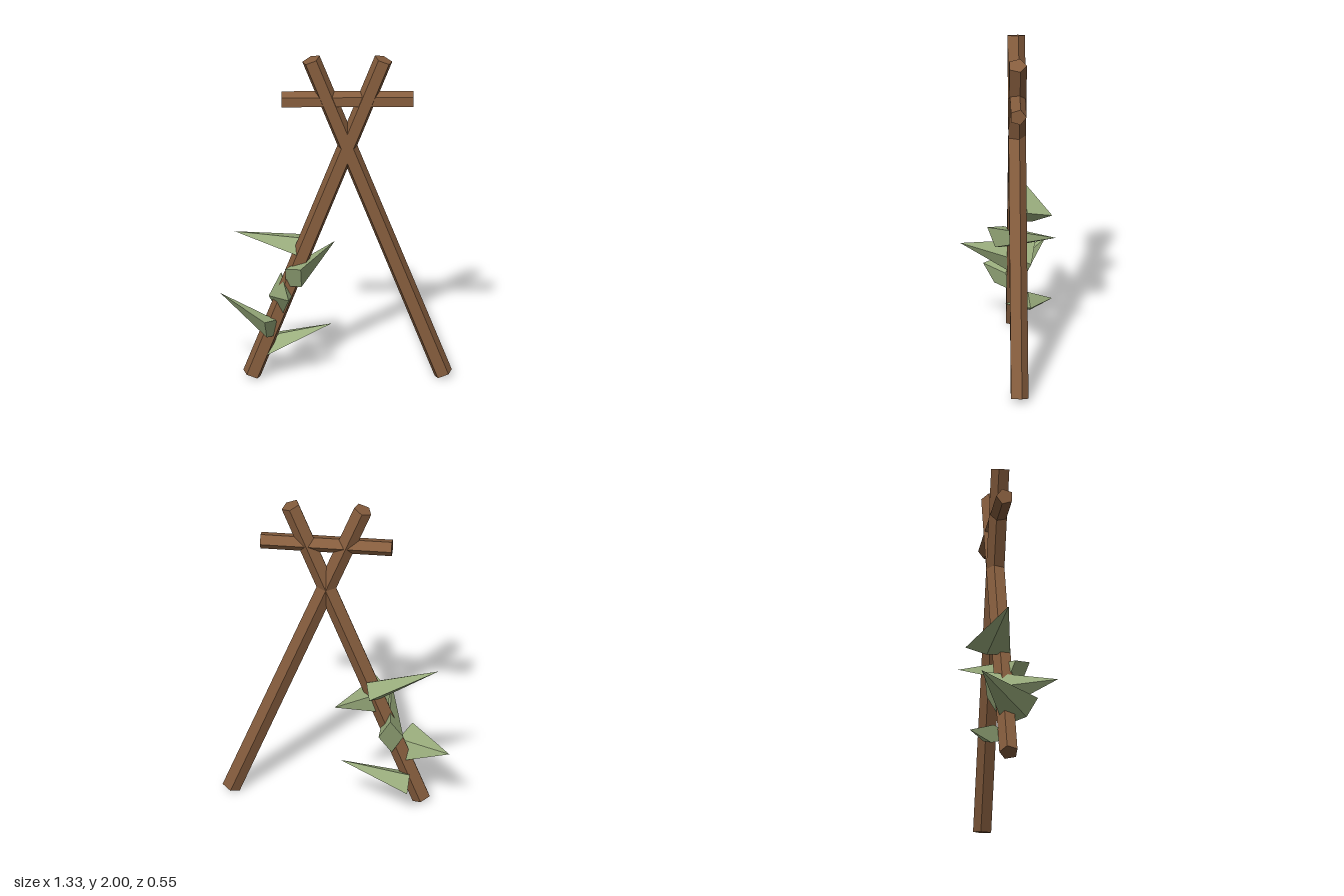
import * as THREE from 'three';

const wood = new THREE.MeshStandardMaterial({ color: 0x875e3e });
wood.name = 'brown wood';
const green = new THREE.MeshStandardMaterial({ color: 0x9aad7d });
green.name = 'leaf green';

// Split the corners so that every face is flat
function flat(geometry) {
  const g = geometry.toNonIndexed();
  g.computeVertexNormals();
  return g;
}

// Five-sided pole between two points in the x-y plane, flat side to the front
function pole(name, [x0, y0], [x1, y1], radius) {
  const length = Math.hypot(x1 - x0, y1 - y0);
  const g = new THREE.CylinderGeometry(radius, radius, length, 5);
  g.rotateY(Math.PI);
  g.rotateZ(Math.atan2(y1 - y0, x1 - x0) - Math.PI / 2);
  g.translate((x0 + x1) / 2, (y0 + y1) / 2, -0.045);
  const mesh = new THREE.Mesh(flat(g), wood);
  mesh.name = name;
  return mesh;
}

// Flattened four-sided spike: base centre, tip, and the two half-diagonals of the base
function leaf(name, centre, tip, wide, thin) {
  const c = new THREE.Vector3(...centre);
  const axis = new THREE.Vector3(...tip).sub(c);
  const w = new THREE.Vector3(...wide);
  const t = new THREE.Vector3(...thin);
  const m = new THREE.Matrix4().makeBasis(w, axis, t);
  if (m.determinant() < 0) m.makeBasis(w, axis, t.negate());
  m.setPosition(c);
  const g = new THREE.ConeGeometry(1, 1, 4);
  g.translate(0, 0.5, 0);
  g.applyMatrix4(m);
  const mesh = new THREE.Mesh(flat(g), green);
  mesh.name = name;
  return mesh;
}

export function createModel() {
  const group = new THREE.Group();
  group.name = 'poleFrameWithLeaves';

  // Crossed legs and the bar near the top
  group.add(
    pole('rightLeg', [-0.49, 0.022], [0.27, 1.98], 0.056),
    pole('leftLeg', [0.613, 0.022], [-0.15, 1.98], 0.056),
    pole('crossbar', [-0.32, 1.73], [0.443, 1.73], 0.05)
  );

  // Leaves climbing one leg, from the lowest to the highest
  const leaves = [
    [[-0.415, 0.17, -0.13], [-0.03, 0.3, -0.13], [-0.015, 0.01, -0.135], [-0.015, 0.05, 0.005]],
    [[-0.378, 0.337, 0.04], [-0.672, 0.45, -0.23], [-0.04, 0.076, 0.094], [-0.027, -0.042, 0.03]],
    [[-0.322, 0.478, -0.13], [-0.28, 0.605, 0.27], [0, 0.127, -0.035], [0.071, 0, -0.01]],
    [[-0.252, 0.655, 0.045], [-0.01, 0.755, -0.275], [0.042, 0.08, 0.07], [0.047, -0.045, 0.025]],
    [[-0.218, 0.79, -0.13], [-0.59, 0.905, -0.06], [0.008, 0.015, -0.13], [0.04, 0.045, 0.012]],
  ];
  leaves.forEach((l, i) => group.add(leaf('leaf' + (i + 1), ...l)));
  return group;
}
